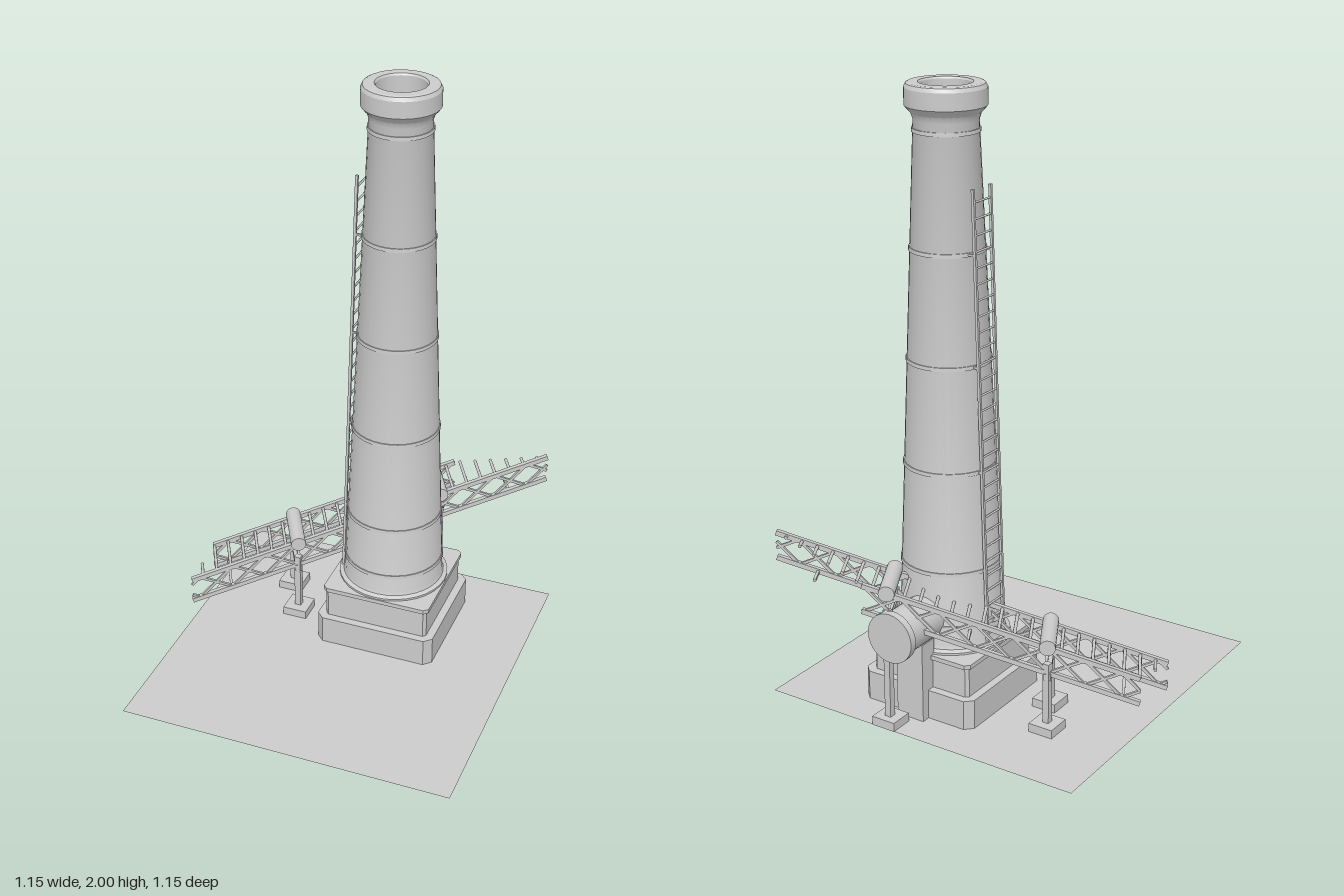
import * as THREE from 'three';
import { toCreasedNormals } from 'three/addons/utils/BufferGeometryUtils.js';

const HALF = 0.57;             // half size of the site
const CX = 0.09, CZ = -0.23;   // chimney axis
const V = (x, y, z) => new THREE.Vector3(x, y, z);

export function createModel() {
  const root = new THREE.Group();
  const grey = new THREE.MeshStandardMaterial({ color: 0xcccccc });
  grey.name = 'concrete grey';
  const greySheet = new THREE.MeshStandardMaterial({ color: 0xcccccc, side: THREE.DoubleSide });
  greySheet.name = 'ground grey';

  const group = (name) => {
    const g = new THREE.Group();
    g.name = name;
    root.add(g);
    return g;
  };
  const add = (parent, name, geo, x = 0, y = 0, z = 0, mat = grey) => {
    const m = new THREE.Mesh(geo, mat);
    m.name = name;
    m.position.set(x, y, z);
    parent.add(m);
    return m;
  };

  // Bar between two points, trimmed at the left and back site limits; round if sides > 0
  const bar = (parent, name, a, b, w, h = w, sides = 0) => {
    let t0 = 0, t1 = 1;
    for (const k of ['x', 'z']) {
      const d = b[k] - a[k];
      for (const s of [1, -1]) {
        const fa = HALF - s * a[k], fb = HALF - s * b[k];
        if (fa < 0 && fb < 0) return;
        if (fa < 0) t0 = Math.max(t0, (s * HALF - a[k]) / d);
        if (fb < 0) t1 = Math.min(t1, (s * HALF - a[k]) / d);
      }
    }
    if (t1 - t0 < 0.03) return;
    const p = a.clone().lerp(b, t0), q = a.clone().lerp(b, t1), len = p.distanceTo(q);
    const geo = sides
      ? new THREE.CylinderGeometry(w / 2, w / 2, len, sides).rotateX(Math.PI / 2)
      : new THREE.BoxGeometry(w, h, len);
    const m = add(parent, name, geo);
    m.position.copy(p).add(q).multiplyScalar(0.5);
    m.lookAt(q);
  };

  // Square block with chamfered upright corners
  const block = (parent, name, half, c, y0, y1) => {
    const e = half - c;
    const pts = [[e, -half], [half, -e], [half, e], [e, half], [-e, half], [-half, e], [-half, -e], [-e, -half]];
    const shape = new THREE.Shape(pts.map(([x, y]) => new THREE.Vector2(x, y)));
    const geo = new THREE.ExtrudeGeometry(shape, { depth: y1 - y0, bevelEnabled: false });
    add(parent, name, geo.rotateX(-Math.PI / 2), CX, y0, CZ);
  };

  // Ground
  add(root, 'ground', new THREE.PlaneGeometry(2 * HALF, 2 * HALF).rotateX(-Math.PI / 2), 0, 0.001, 0, greySheet);

  // Stepped plinth
  const plinth = group('plinth');
  block(plinth, 'plinthFoot', 0.21, 0.025, 0, 0.1);
  block(plinth, 'plinthBody', 0.183, 0.01, 0.1, 0.2);
  block(plinth, 'plinthCap', 0.191, 0.015, 0.2, 0.215);

  // Hollow tapering shaft with flared foot and crown
  const chimney = group('chimney');
  const radiusAt = (y) => 0.17 - (y - 0.24) * 0.0428;
  const profile = [
    [0.188, 0.21], [0.188, 0.222], [0.174, 0.228], [0.17, 0.24], [radiusAt(1.89), 1.89],
    [0.106, 1.91], [0.12, 1.925], [0.125, 1.932], [0.125, 1.985], [0.119, 1.997], [0.113, 2],
    [0.083, 2], [0.079, 1.994], [0.079, 1.85], [0.12, 0.3], [0, 0.3],
  ].map(([r, y]) => new THREE.Vector2(r, y));
  add(chimney, 'shaft', toCreasedNormals(new THREE.LatheGeometry(profile, 32), 0.45), CX, 0, CZ);
  for (const y of [0.3, 0.48, 0.81, 1.15, 1.5, 1.86]) {
    const r = radiusAt(y) + 0.004;
    add(chimney, 'band', new THREE.CylinderGeometry(r - 0.001, r, 0.012, 32), CX, y, CZ);
  }

  // Ladder following the slope of the shaft
  const ladder = group('ladder');
  const ladderAt = (y, side) => V(-0.079 + (y - 0.22) * 0.03, y, CZ + side * 0.046);
  for (const s of [1, -1]) bar(ladder, 'ladderRail', ladderAt(0.215, s), ladderAt(1.7, s), 0.009);
  for (let y = 0.26; y < 1.68; y += 0.05) {
    bar(ladder, 'ladderRung', ladderAt(y, 1), ladderAt(y, -1), 0.007, 0.007, 6);
  }
  for (const y of [0.48, 0.81, 1.15, 1.5]) {
    for (const s of [1, -1]) {
      bar(ladder, 'ladderBracket', ladderAt(y, s), V(CX - radiusAt(y) + 0.012, y, CZ + s * 0.046), 0.007);
    }
  }

  // Flue duct behind the shaft, with end flange and pier
  const duct = group('duct');
  const pipe = (name, r, z0, z1) =>
    add(duct, name, new THREE.CylinderGeometry(r, r, z0 - z1, 28).rotateX(Math.PI / 2), CX, 0.325, (z0 + z1) / 2);
  pipe('ductPipe', 0.072, -0.3, -0.56);
  pipe('ductFlange', 0.083, -0.545, -HALF);
  add(duct, 'ductPier', new THREE.BoxGeometry(0.1, 0.27, 0.065), CX, 0.135, -0.437);

  // Sloping conveyor bridge: s runs uphill, side is +1 on the front and -1 on the back
  const conveyor = group('conveyor');
  const at = (s, side, h) => {
    const w = -0.33 + side * 0.08;
    return V(0.88 * s + 0.475 * w, 0.07 + 0.331 * (s + 0.516) + h, -0.475 * s + 0.88 * w);
  };
  const LOW = 0.008, HIGH = 0.094, CELL = 0.115;
  for (const side of [1, -1]) {
    for (const h of [LOW, HIGH]) bar(conveyor, 'chord', at(-0.7, side, h), at(0.9, side, h), 0.016);
    for (let i = 0; i < 13; i++) {
      const s = -0.6 + i * CELL;
      bar(conveyor, 'brace', at(s, side, LOW), at(s + CELL, side, HIGH), 0.009);
      bar(conveyor, 'brace', at(s, side, HIGH), at(s + CELL, side, LOW), 0.009);
    }
  }
  for (let i = 0; i < 30; i++) {
    const s = -0.62 + i * 0.049;
    bar(conveyor, 'crossRoller', at(s, 1, HIGH), at(s, -1, HIGH), 0.011, 0.011, 8);
    if (i % 5 === 0) bar(conveyor, 'lowerTie', at(s, 1, LOW), at(s, -1, LOW), 0.009);
  }

  // Trestles carrying the bridge, each below a large drum
  for (const s of [-0.137, 0.362]) {
    const trestle = group('trestle');
    bar(trestle, 'drum', at(s, 1.22, 0.1), at(s, -1.22, 0.1), 0.052, 0.052, 20);
    bar(trestle, 'headBeam', at(s, 1.15, -0.004), at(s, -1.15, -0.004), 0.022);
    for (const side of [1, -1]) {
      const p = at(s, side, 0.04);
      add(trestle, 'post', new THREE.BoxGeometry(0.022, p.y, 0.022), p.x, p.y / 2, p.z);
      const back = Math.max(p.z - 0.0425, -HALF), front = p.z + 0.0425;
      add(trestle, 'footing', new THREE.BoxGeometry(0.085, 0.03, front - back), p.x, 0.015, (front + back) / 2);
    }
  }
  return root;
}
